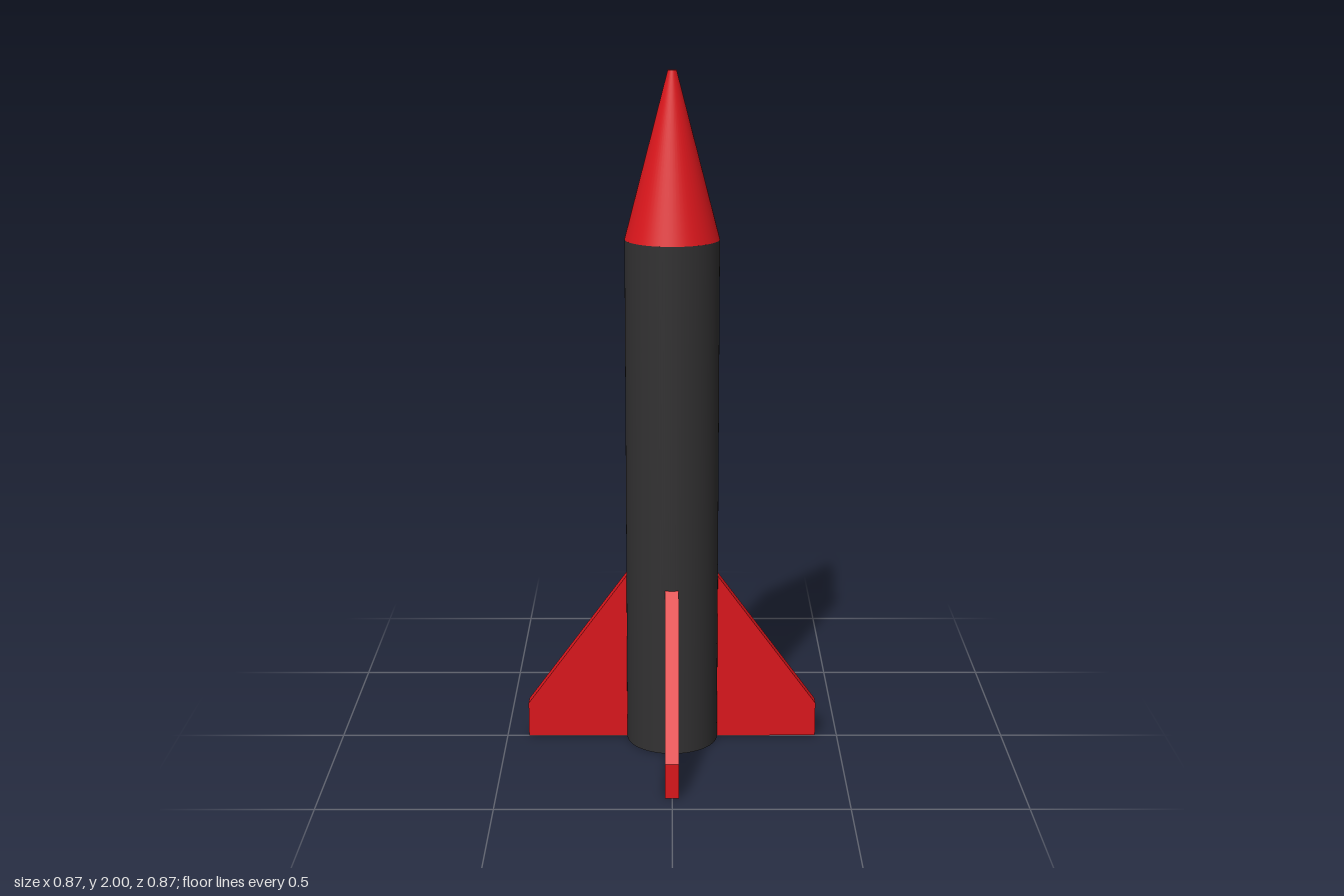
import * as THREE from 'three';

const BODY_R = 0.136, BODY_TOP = 1.525, TOP = 2, CZ = -0.003;

export function createModel() {
  const rocket = new THREE.Group();
  rocket.name = 'rocket';
  const red = new THREE.MeshStandardMaterial({ color: 0xdc161c });
  const black = new THREE.MeshStandardMaterial({ color: 0x323132 });

  const add = (name, geometry, material, x, y, z) => {
    const mesh = new THREE.Mesh(geometry, material);
    mesh.name = name;
    mesh.position.set(x, y, z);
    rocket.add(mesh);
    return mesh;
  };

  // Body tube with a round motor bore open at the bottom
  const bodyShape = new THREE.Shape().absarc(0, 0, BODY_R, 0, Math.PI * 2);
  bodyShape.holes.push(new THREE.Path().absarc(0, 0, 0.075, 0, Math.PI * 2, true));
  const body = new THREE.ExtrudeGeometry(bodyShape, { depth: BODY_TOP, bevelEnabled: false, curveSegments: 64 });
  body.rotateX(-Math.PI / 2);
  smoothWalls(body);
  add('bodyTube', body, black, 0, 0, CZ);

  // Nose cone with a small flat tip
  const noseH = TOP - BODY_TOP;
  add('noseCone', new THREE.CylinderGeometry(0.0125, BODY_R, noseH, 64), red, 0, BODY_TOP + noseH / 2, CZ);

  // Four swept fins; the side pair sits slightly behind the centre line
  const fin = new THREE.ExtrudeGeometry(
    new THREE.Shape([[0.128, 0], [0.434, 0], [0.434, 0.105], [0.136, 0.512], [0.128, 0.515]]
      .map(([x, y]) => new THREE.Vector2(x, y))),
    { depth: 0.04, bevelEnabled: false });
  fin.translate(0, 0, -0.02);
  const fins = [
    ['finLeft', 0, 0, -0.02],
    ['finBack', Math.PI / 2, -0.001, -0.001],
    ['finRight', Math.PI, -0.001, -0.02],
    ['finFront', -Math.PI / 2, -0.001, -0.002],
  ];
  for (const [name, turn, x, z] of fins) add(name, fin, red, x, 0, z).rotation.y = turn;

  return rocket;
}

// Give the round walls radial normals, keeping the end rings flat
function smoothWalls(geometry) {
  const p = geometry.attributes.position, n = geometry.attributes.normal;
  for (let i = 0; i < p.count; i++) {
    if (Math.abs(n.getY(i)) > 0.5) continue;
    const r = Math.hypot(p.getX(i), p.getZ(i)), s = r > 0.1 ? 1 : -1;
    n.setXYZ(i, s * p.getX(i) / r, 0, s * p.getZ(i) / r);
  }
}
